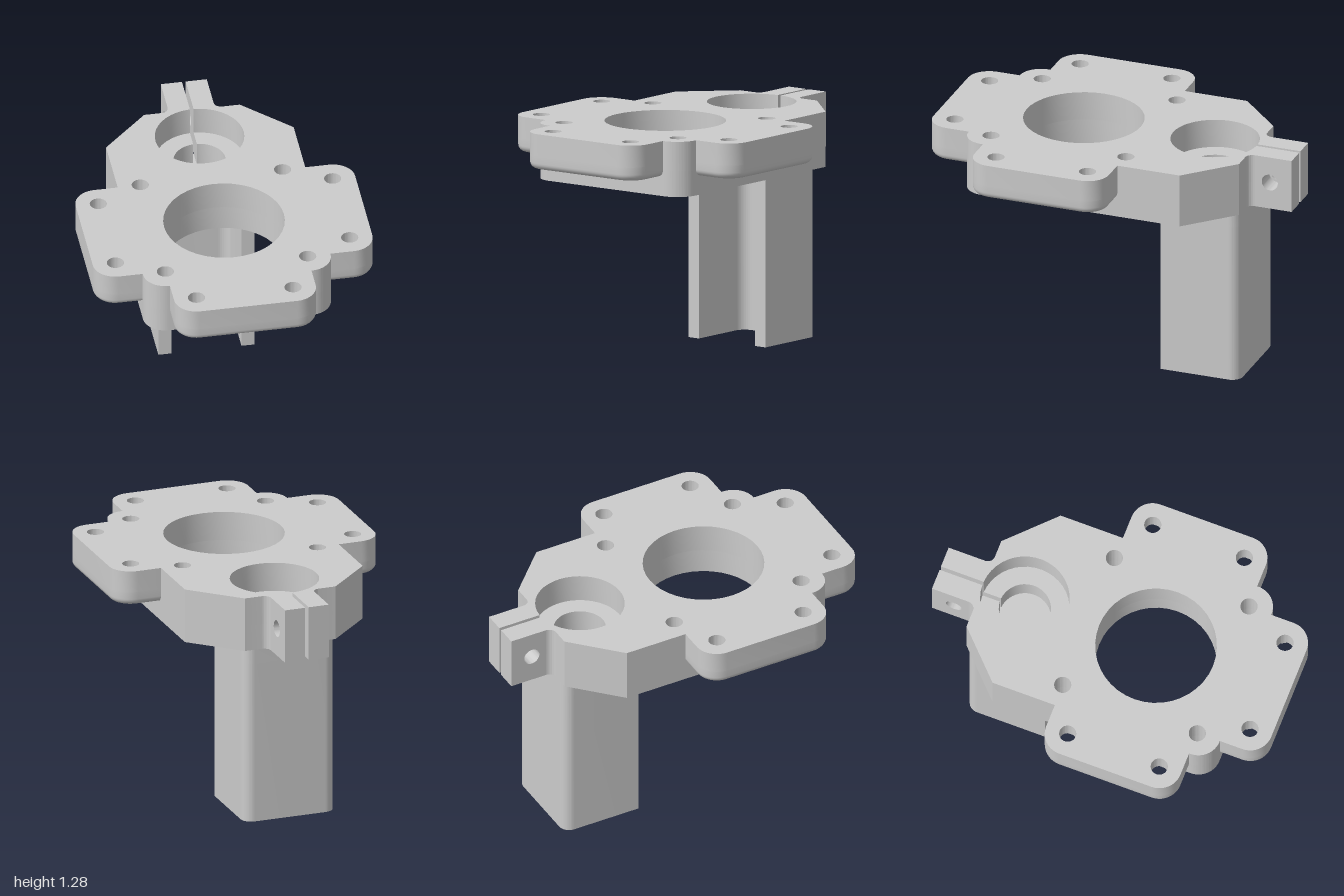
import * as THREE from 'three';
import { toCreasedNormals } from 'three/addons/utils/BufferGeometryUtils.js';

const material = new THREE.MeshStandardMaterial({ color: 0xcccccc, side: THREE.DoubleSide });
const PI = Math.PI;
const TOP = 1.28, BASE = 0.98, LEDGE = 1.12;   // plate top, plate underside, bore step
const BORE_Z = -0.515, CENTRE_Z = 0.237;

function mesh(name, geometry) {
  const m = new THREE.Mesh(toCreasedNormals(geometry, 0.55), material);
  m.name = name;
  return m;
}

// Extrude a shape drawn in (x, z) between two heights
function slab(name, shape, y0, y1) {
  const g = new THREE.ExtrudeGeometry(shape, { depth: y1 - y0, bevelEnabled: false, curveSegments: 20 });
  g.rotateX(PI / 2).translate(0, y1, 0);
  return mesh(name, g);
}

function circle(x, z, r) {
  return new THREE.Path().absarc(x, z, r, 0, PI * 2, true);
}

function hexagon(x, z, r) {
  const pts = [];
  for (let i = 0; i < 6; i++) {
    pts.push(new THREE.Vector2(x + r * Math.cos(i * PI / 3), z - r * Math.sin(i * PI / 3)));
  }
  return new THREE.Path(pts);
}

// Plate outline; the slot and bore are one keyhole cut in from the back
function plateShape(boreRadius) {
  const s = new THREE.Shape();
  const a = Math.asin(0.01 / boreRadius);
  s.moveTo(0.01, -0.79);
  s.lineTo(0.125, -0.79);
  s.absarc(0.165, -0.79, 0.04, PI, PI / 2, true);
  s.lineTo(0.26, -0.75);
  s.lineTo(0.51, -0.505);
  s.absarc(0.39, 0.63, 0.12, 0, PI / 2, false);
  s.absarc(-0.39, 0.63, 0.12, PI / 2, PI, false);
  s.lineTo(-0.51, -0.505);
  s.lineTo(-0.26, -0.75);
  s.absarc(-0.165, -0.79, 0.04, PI / 2, 0, true);
  s.lineTo(-0.01, -0.79);
  s.absarc(0, BORE_Z, boreRadius, -PI / 2 - a, -PI / 2 + a, true);
  s.closePath();
  s.holes.push(circle(0, CENTRE_Z, 0.326));
  for (const x of [-0.387, 0.387]) {
    for (const z of [-0.15, 0.622]) s.holes.push(circle(x, z, 0.046));
  }
  return s;
}

// Ear outline: straight inner edge at z = 0, two rounded outer corners
function earPoints(inset) {
  const w = 0.385, d = 0.25, r = 0.12, n = 10;
  const pts = [new THREE.Vector2(-w + inset, 0)];
  for (const side of [-1, 1]) {
    for (let i = 0; i <= n; i++) {
      const t = (side < 0 ? PI : PI / 2) - (i / n) * PI / 2;
      pts.push(new THREE.Vector2(side * (w - r) + (r - inset) * Math.cos(t), d - r + (r - inset) * Math.sin(t)));
    }
  }
  pts.push(new THREE.Vector2(w - inset, 0));
  return pts;
}

// Mounting ear: drilled top, nut pockets below, rounded lower rim
function makeEar(name) {
  const bottom = 1.085, fillet = 0.035, pocketTop = 1.16;
  const ear = new THREE.Group();
  ear.name = name;

  const upper = new THREE.Shape(earPoints(0));
  const lower = new THREE.Shape(earPoints(fillet));
  for (const x of [-0.2625, 0.2625]) {
    upper.holes.push(circle(x, 0.127, 0.046));
    lower.holes.push(hexagon(x, 0.127, 0.08));
  }
  ear.add(slab('earTop', upper, pocketTop, TOP));
  ear.add(slab('earNutPockets', lower, bottom, pocketTop));

  const pos = [], index = [], steps = 6;
  for (let j = 0; j <= steps + 1; j++) {
    const t = Math.min(j / steps, 1) * PI / 2;
    const y = j > steps ? pocketTop : bottom + fillet * (1 - Math.cos(t));
    for (const p of earPoints(fillet * (1 - Math.sin(t)))) pos.push(p.x, y, p.y);
  }
  const n = earPoints(0).length;
  for (let j = 0; j <= steps; j++) {
    for (let i = 0; i < n - 1; i++) {
      const a = j * n + i, b = a + n;
      index.push(a, a + 1, b, a + 1, b + 1, b);
    }
  }
  const rim = new THREE.BufferGeometry();
  rim.setAttribute('position', new THREE.Float32BufferAttribute(pos, 3));
  rim.setIndex(index);
  ear.add(mesh('earRoundedRim', rim));
  return ear;
}

// Clamp tab with a cross bolt hole, extruded along x
function makeTab(name, xMax) {
  const s = new THREE.Shape();
  s.moveTo(-1, BASE);
  s.lineTo(-0.79, BASE);
  s.lineTo(-0.79, TOP);
  s.lineTo(-1, TOP);
  s.closePath();
  s.holes.push(circle(-0.875, 1.133, 0.046));
  const g = new THREE.ExtrudeGeometry(s, { depth: 0.115, bevelEnabled: false, curveSegments: 20 });
  g.rotateY(-PI / 2).translate(xMax, 0, 0);
  return mesh(name, g);
}

// Leg section, either solid or as a channel open to the front
function legShape(channel) {
  const w = 0.262, front = -0.3, back = -0.75, r = 0.06;
  const s = new THREE.Shape();
  s.moveTo(w, front);
  if (channel) {
    const iw = 0.19, ib = -0.68;
    s.lineTo(iw, front);
    s.absarc(iw - r, ib + r, r, 0, -PI / 2, true);
    s.absarc(-iw + r, ib + r, r, -PI / 2, -PI, true);
    s.lineTo(-iw, front);
  }
  s.lineTo(-w, front);
  s.absarc(-w + r, back + r, r, PI, PI * 1.5, false);
  s.absarc(w - r, back + r, r, -PI / 2, 0, false);
  s.closePath();
  return s;
}

export function createModel() {
  const model = new THREE.Group();
  model.name = 'clampBracket';

  // Main plate with stepped bore
  model.add(slab('plateUpper', plateShape(0.24), LEDGE, TOP));
  model.add(slab('plateLower', plateShape(0.14), BASE, LEDGE));

  // Ears on the front and both sides
  [['frontEar', 0], ['leftEar', PI / 2], ['rightEar', -PI / 2]].forEach(([name, turn]) => {
    const ear = makeEar(name);
    ear.rotation.y = turn;
    ear.position.set(0.51 * Math.sin(turn), 0, CENTRE_Z + 0.512 * Math.cos(turn));
    model.add(ear);
  });

  // Split clamp at the back
  model.add(makeTab('leftClampTab', 0.125), makeTab('rightClampTab', -0.01));

  // Channel leg and its closed top
  model.add(slab('channelLeg', legShape(true), 0, 0.9));
  model.add(slab('legCap', legShape(false), 0.9, BASE));

  return model;
}
